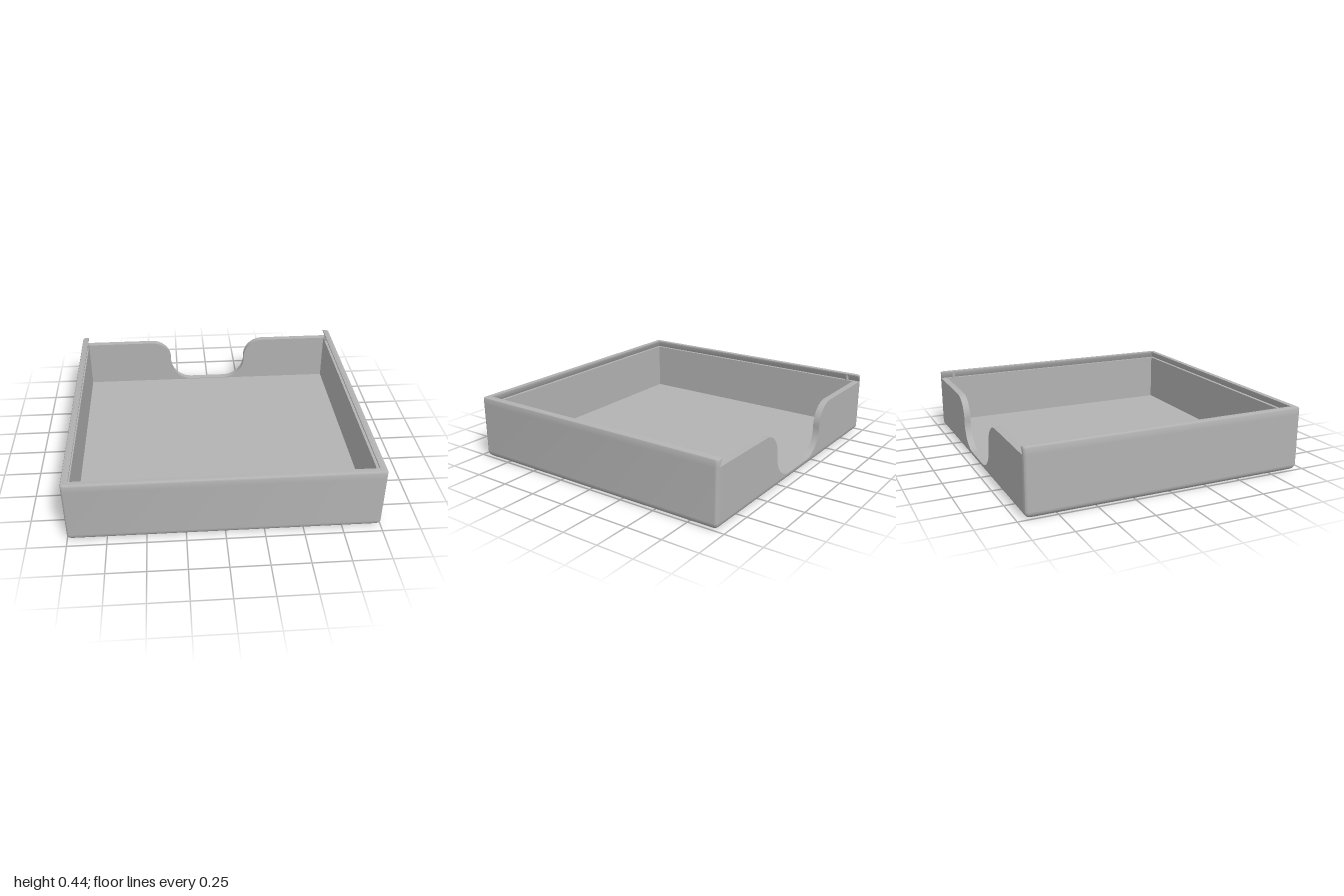
import * as THREE from 'three';
import { toCreasedNormals } from 'three/addons/utils/BufferGeometryUtils.js';

const HX = 1, HZ = 0.95, R = 0.02;      // outer half sizes and corner radius
const IX = 0.955, IZ = 0.905;           // inner half sizes
const FLOOR = 0.04, LEDGE = 0.385, RIM = 0.435;

// Rounded rectangle seen from above (second value is -z), starting at the back right corner
function roundedRect(hx, hz, r) {
  const pts = [];
  [[-1, 1], [-1, -1], [1, -1], [1, 1]].forEach(([sx, sz], k) => {
    for (let i = 0; i <= 5; i++) {
      const a = (k + 1 + i / 5) * Math.PI / 2;
      pts.push([sx * (hx - r) + r * Math.cos(a), sz * (hz - r) + r * Math.sin(a)]);
    }
  });
  return pts;
}

// Two sides and the front, open at the back
function uOutline(hx, hz, r, ix, iz) {
  return [[-ix, hz], ...roundedRect(hx, hz, r), [ix, hz], [ix, -iz], [-ix, -iz]];
}

// Closed solid through outlines stacked in y
function loft(levels) {
  const pos = [], index = [], n = levels[0].pts.length;
  levels.forEach(({ y, pts }) => pts.forEach(([x, v]) => pos.push(x, y, -v)));
  for (let i = 0; i < levels.length - 1; i++) {
    for (let j = 0; j < n; j++) {
      const a = i * n + j, b = i * n + (j + 1) % n;
      index.push(a, b, b + n, a, b + n, a + n);
    }
  }
  const cap = (level) => THREE.ShapeUtils.triangulateShape(
    levels[level].pts.map(([x, v]) => new THREE.Vector2(x, v)), []);
  const top = (levels.length - 1) * n;
  cap(0).forEach(([a, b, c]) => index.push(a, c, b));
  cap(levels.length - 1).forEach(([a, b, c]) => index.push(top + a, top + b, top + c));
  const geo = new THREE.BufferGeometry();
  geo.setAttribute('position', new THREE.Float32BufferAttribute(pos, 3));
  geo.setIndex(index);
  return toCreasedNormals(geo, 0.6);
}

export function createModel() {
  const group = new THREE.Group();
  const grey = new THREE.MeshStandardMaterial({ color: 0xb2b2b2 });
  grey.name = 'grey plastic';
  const add = (name, geo) => {
    const mesh = new THREE.Mesh(geo, grey);
    mesh.name = name;
    group.add(mesh);
    return mesh;
  };

  // Floor with a rounded lower edge
  const floorLevels = [];
  for (let i = 0; i <= 8; i++) {
    const a = i / 8 * Math.PI / 2, inset = FLOOR * (1 - Math.sin(a));
    floorLevels.push({ y: FLOOR * (1 - Math.cos(a)), pts: roundedRect(HX - inset, HZ - inset, R) });
  }
  add('floor', loft(floorLevels));

  // Side and front walls with an undercut lid groove below the rim
  add('sideAndFrontWalls', loft([
    { y: FLOOR, pts: uOutline(HX, HZ, R, IX, IZ) },
    { y: LEDGE, pts: uOutline(HX, HZ, R, IX, IZ) },
    { y: LEDGE, pts: uOutline(HX, HZ, R, IX + 0.022, IZ + 0.022) },
    { y: RIM - 0.01, pts: uOutline(HX, HZ, R, IX, IZ) },
    { y: RIM - 0.003, pts: uOutline(HX - 0.003, HZ - 0.003, R, IX, IZ) },
    { y: RIM, pts: uOutline(HX - 0.01, HZ - 0.01, R, IX, IZ) },
  ]));

  // Lower back wall with a curved finger notch
  const cut = 0.045, rTop = 0.15, rLow = 0.17, xMid = 0.3, s = new THREE.Shape();
  s.moveTo(-IX, FLOOR);
  s.lineTo(IX, FLOOR);
  s.lineTo(IX, LEDGE);
  s.lineTo(xMid + rTop, LEDGE);
  s.absarc(xMid + rTop, LEDGE - rTop, rTop, Math.PI / 2, Math.PI, false);
  s.absarc(xMid - rLow, cut + rLow, rLow, 0, -Math.PI / 2, true);
  s.absarc(-xMid + rLow, cut + rLow, rLow, -Math.PI / 2, -Math.PI, true);
  s.absarc(-xMid - rTop, LEDGE - rTop, rTop, 0, Math.PI / 2, false);
  s.lineTo(-IX, LEDGE);
  s.closePath();
  const back = new THREE.ExtrudeGeometry(s, { depth: HZ - IZ, bevelEnabled: false, curveSegments: 16 });
  back.translate(0, 0, -HZ);
  add('backWall', toCreasedNormals(back, 0.6));

  // Small lid catches in the groove ends
  for (const side of [-1, 1]) {
    const pin = add(side > 0 ? 'leftLidCatch' : 'rightLidCatch',
      new THREE.CylinderGeometry(0.012, 0.012, RIM - LEDGE, 16));
    pin.position.set(side * 0.965, (RIM + LEDGE) / 2, -0.855);
  }
  return group;
}
